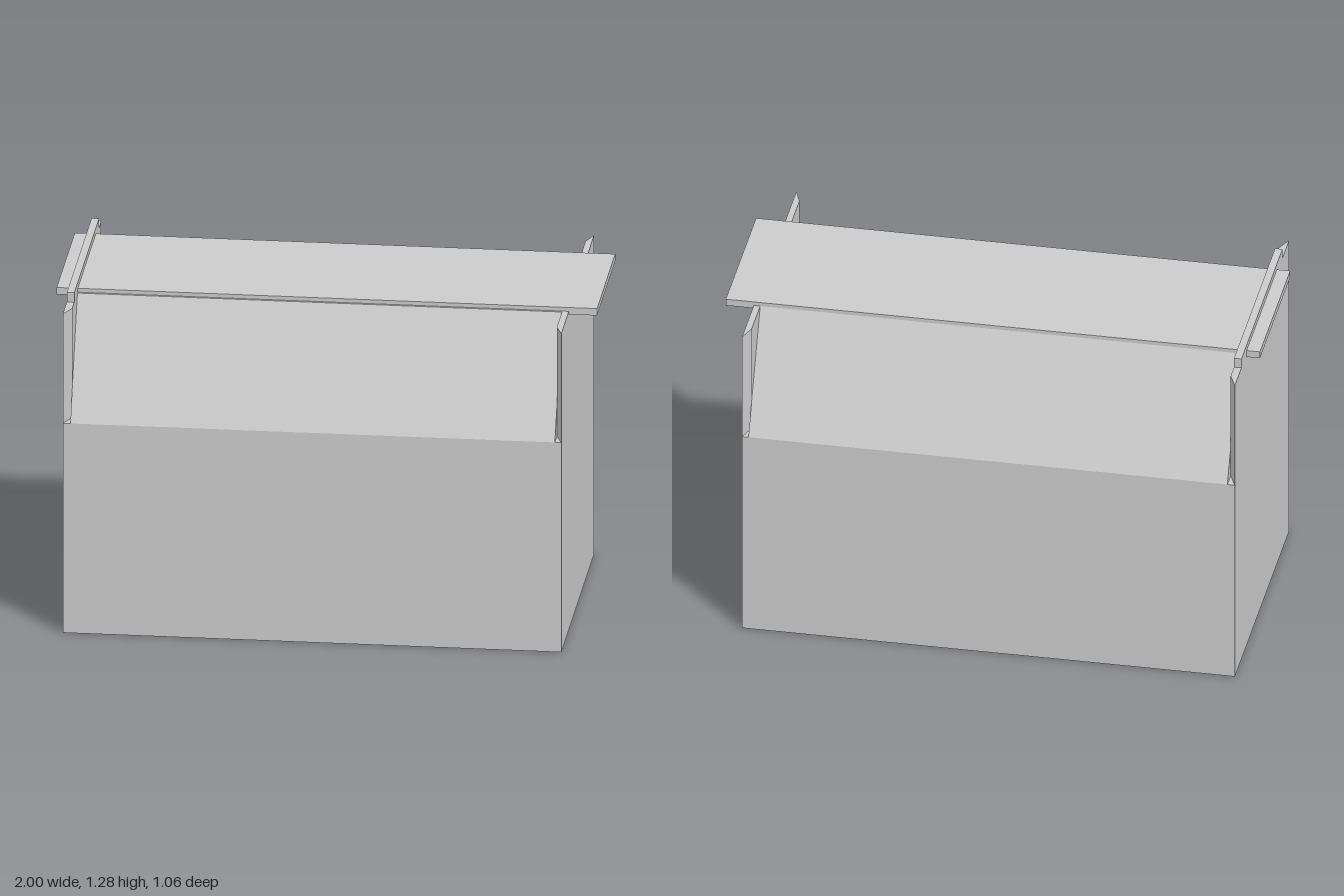
import * as THREE from 'three';

const L = -0.95, R = 0.895;          // outer faces of the end walls
const LI = -0.922, RI = 0.871;       // inner faces of the end walls
const D = 0.53, SHOULDER = 0.82, TOP = 1.247;

export function createModel() {
  const group = new THREE.Group();
  const material = new THREE.MeshStandardMaterial({ color: 0xcccccc, flatShading: true });

  const add = (name, geometry) => {
    const mesh = new THREE.Mesh(geometry, material);
    mesh.name = name;
    group.add(mesh);
  };
  const box = (name, x0, x1, y0, y1, z0, z1) => {
    const g = new THREE.BoxGeometry(x1 - x0, y1 - y0, z1 - z0);
    g.translate((x0 + x1) / 2, (y0 + y1) / 2, (z0 + z1) / 2);
    add(name, g);
  };
  const extrude = (points, depth) => new THREE.ExtrudeGeometry(
    new THREE.Shape(points.map(([a, b]) => new THREE.Vector2(a, b))),
    { depth, bevelEnabled: false });

  // Lower bin
  box('bin', L, R, 0, SHOULDER, -D, D);

  // Upper bin with sloping front and back panels, run along x
  const slopes = extrude([[-D, SHOULDER], [D, SHOULDER], [0.3, TOP], [-0.3, TOP]], RI - LI);
  slopes.rotateY(-Math.PI / 2);
  slopes.translate(RI, 0, 0);
  add('slopingPanels', slopes);

  // End walls, mitred on their inner vertical edges
  for (const [name, outer, inner] of [['rightEndWall', L, LI], ['leftEndWall', R, RI]]) {
    const wall = extrude([[outer, -D], [outer, D], [inner, 0.465], [inner, -0.465]], TOP - SHOULDER);
    wall.rotateX(-Math.PI / 2);
    wall.translate(0, SHOULDER, 0);
    add(name, wall);
  }

  // Raised rail on one end wall
  box('endRail', L, LI, TOP, 1.285, -0.4, 0.4);

  // Flat lid reaching past both end walls
  box('lid', -1, 1, 1.235, 1.262, -0.3, 0.29);

  return group;
}
